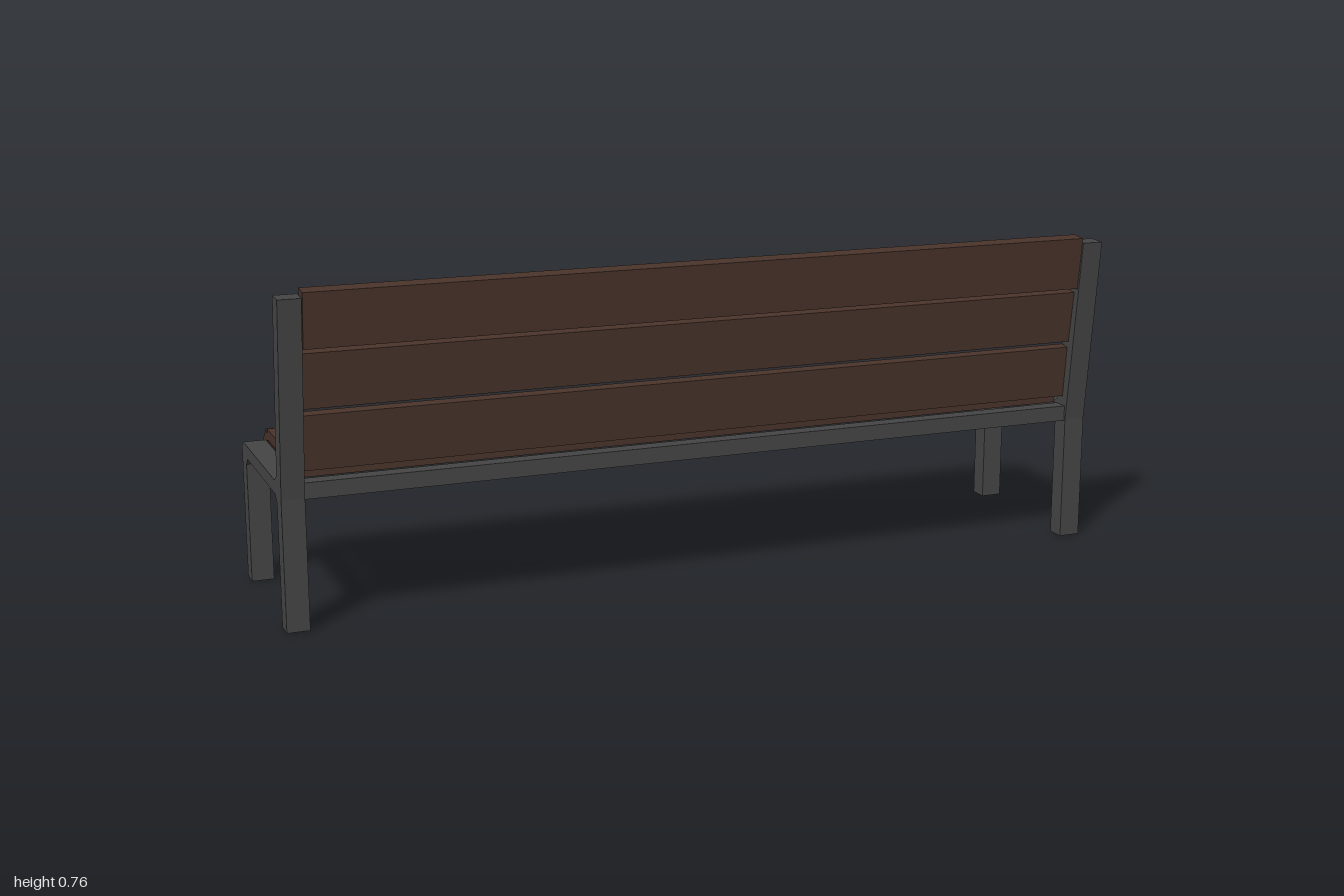
import * as THREE from 'three';

const metal = new THREE.MeshStandardMaterial({ color: 0x444444, flatShading: true });
const wood = new THREE.MeshStandardMaterial({ color: 0x48332a, flatShading: true });

// Extrudes a [z, y] outline along x from x0 to x1.
function prism(name, outline, x0, x1, material) {
  const shape = new THREE.Shape(outline.map(([z, y]) => new THREE.Vector2(z, y)));
  const geometry = new THREE.ExtrudeGeometry(shape, { depth: x1 - x0, bevelEnabled: false });
  geometry.rotateY(-Math.PI / 2).translate(x1, 0, 0);
  const mesh = new THREE.Mesh(geometry, material);
  mesh.name = name;
  return mesh;
}

export function createModel() {
  const bench = new THREE.Group();
  bench.name = 'bench';

  // Side frames: rear leg and leaning post, arm under the seat, front leg, corner gussets
  const frame = [
    [0.217, 0], [0.217, 0.3], [0.265, 0.746], [0.219, 0.748], [0.176, 0.345],
    [0.152, 0.33], [-0.2, 0.33], [-0.218, 0.32], [-0.218, 0], [-0.171, 0],
    [-0.171, 0.283], [-0.153, 0.299], [0.153, 0.299], [0.171, 0.283], [0.171, 0],
  ];
  bench.add(prism('leftFrame', frame, 0.946, 0.998, metal));
  bench.add(prism('rightFrame', frame, -0.998, -0.946, metal));

  // Rail joining the two rear posts
  const rail = [[0.174, 0.296], [0.212, 0.296], [0.212, 0.333], [0.174, 0.333]];
  bench.add(prism('rearRail', rail, -0.946, 0.946, metal));

  // Flat seat slats
  const seat = new THREE.Group();
  seat.name = 'seat';
  for (const [z0, z1] of [[0.048, 0.167], [-0.07, 0.038], [-0.19, -0.08]]) {
    seat.add(prism('seatSlat', [[z0, 0.333], [z1, 0.333], [z1, 0.358], [z0, 0.358]], -0.944, 0.944, wood));
  }
  // Sloping slat on the front edge
  seat.add(prism('frontSlat',
    [[-0.204, 0.355], [-0.263, 0.301], [-0.235, 0.286], [-0.179, 0.338]], -0.944, 0.944, wood));
  bench.add(seat);

  // Backrest slats, given by the lower and upper points of the seat-facing side
  const backrest = new THREE.Group();
  backrest.name = 'backrest';
  const slats = [
    [[0.176, 0.36], [0.188, 0.485], 0.028],
    [[0.19, 0.5], [0.207, 0.625], 0.03],
    [[0.212, 0.637], [0.227, 0.762], 0.038],
  ];
  for (const [[z0, y0], [z1, y1], depth] of slats) {
    const drop = depth * 0.11;
    backrest.add(prism('backSlat',
      [[z0, y0], [z0 + depth, y0 - drop], [z1 + depth, y1 - drop], [z1, y1]], -0.944, 0.944, wood));
  }
  bench.add(backrest);
  return bench;
}
